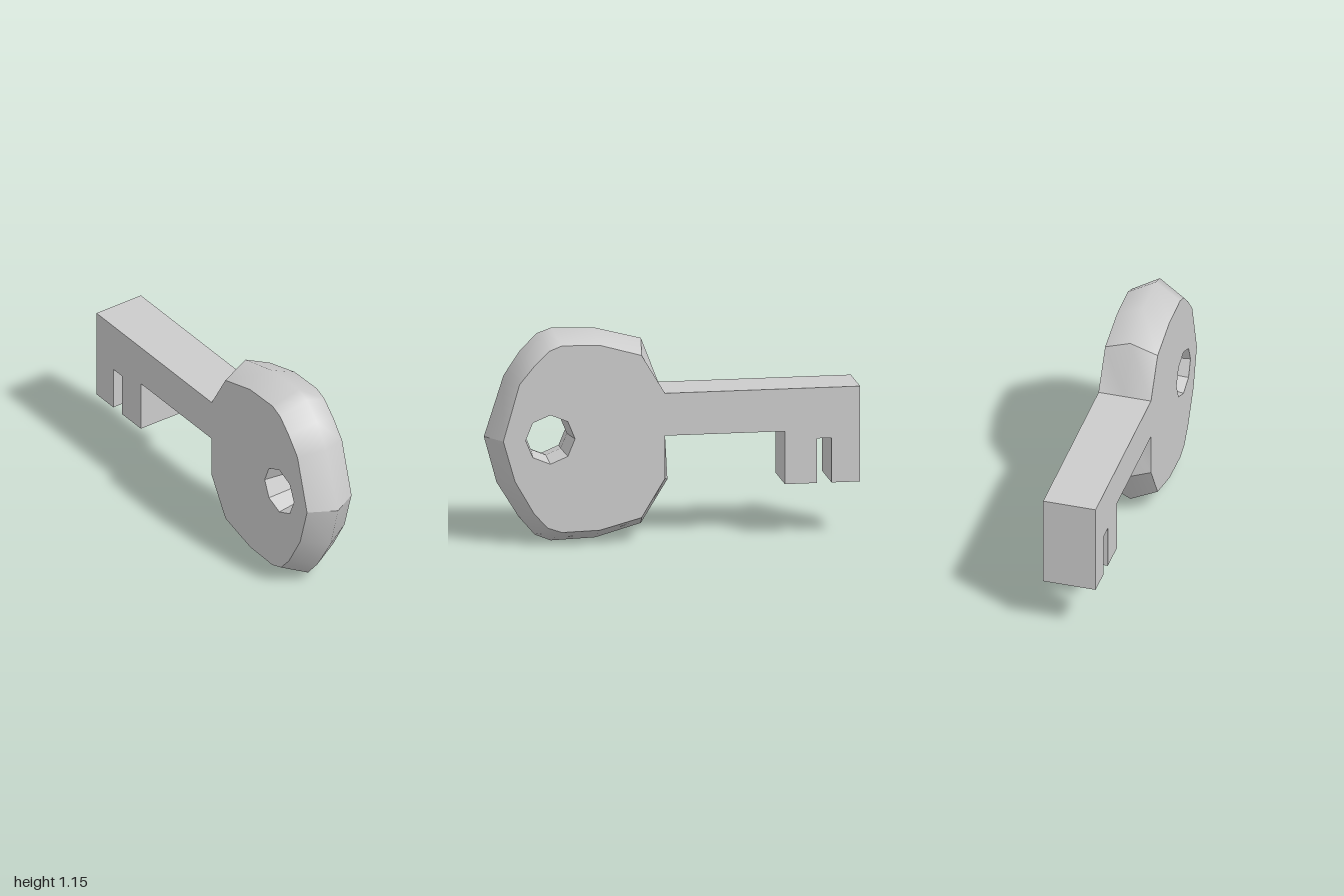
import * as THREE from 'three';

const H = 0.145; // half thickness

// Bow outline as [z, y], from the neck top, round the tip, to the neck bottom
const FACE = [[0.05, 0.81], [0.176, 1.02], [0.4, 1.083], [0.604, 1.088], [0.674, 1.06], [0.752, 0.984],
  [0.833, 0.885], [0.92, 0.58], [0.857, 0.36], [0.755, 0.183], [0.682, 0.102], [0.604, 0.075],
  [0.4, 0.08], [0.176, 0.14], [0.05, 0.348], [0.05, 0.58]];
const RIDGE = [[0.05, 0.81], [0.155, 1.084], [0.4, 1.148], [0.64, 1.157], [0.717, 1.13], [0.808, 1.037],
  [0.894, 0.909], [1, 0.58], [0.932, 0.33], [0.813, 0.138], [0.726, 0.037], [0.64, 0.003],
  [0.4, 0.011], [0.155, 0.08], [0.012, 0.312], [0.05, 0.58]];

const ring = r => Array.from({ length: 8 }, (_, i) => {
  const a = i * Math.PI / 4;
  return [0.667 + r * Math.cos(a), 0.581 + r * Math.sin(a)];
});
const HOLE = ring(0.133), HOLE_MID = ring(0.113);

// Smooth band across the thickness: face edge, middle, face edge
function band(edge, middle) {
  const pos = [], idx = [], n = edge.length;
  [[-H, edge], [0, middle], [H, edge]].forEach(([x, row]) => row.forEach(([z, y]) => pos.push(x, y, z)));
  for (let j = 0; j < 2; j++) {
    for (let i = 0; i < n - 1; i++) {
      const a = j * n + i, b = a + 1, c = b + n, d = a + n;
      idx.push(a, b, c, a, c, d);
    }
  }
  const g = new THREE.BufferGeometry();
  g.setAttribute('position', new THREE.Float32BufferAttribute(pos, 3));
  g.setIndex(idx);
  g.computeVertexNormals();
  return g;
}

export function createModel() {
  const group = new THREE.Group();
  const material = new THREE.MeshStandardMaterial({ color: 0xcccccc });
  const flat = new THREE.MeshStandardMaterial({ color: 0xcccccc, flatShading: true });
  const add = (name, geometry, mat = material) => {
    const mesh = new THREE.Mesh(geometry, mat);
    mesh.name = name;
    group.add(mesh);
  };

  // Flat sides of the bow with the hole cut out
  for (const s of [1, -1]) {
    const points = list => list.map(([z, y]) => new THREE.Vector2(-s * z, y));
    const shape = new THREE.Shape(points(FACE));
    shape.holes.push(new THREE.Path(points(HOLE)));
    const g = new THREE.ShapeGeometry(shape).rotateY(s * Math.PI / 2).translate(s * H, 0, 0);
    add(s > 0 ? 'bowSideLeft' : 'bowSideRight', g);
  }

  // Ridged rim, split where it has hard creases
  const breaks = [0, 1, 7, 13, 14, 15];
  for (let k = 0; k < breaks.length - 1; k++) {
    const from = breaks[k], to = breaks[k + 1] + 1;
    add('bowRim' + (k + 1), band(FACE.slice(from, to), RIDGE.slice(from, to)));
  }

  // Eight-sided hole, narrowing slightly towards the middle
  const closed = list => [...list, list[0]];
  add('holeWall', band(closed(HOLE), closed(HOLE_MID)), flat);

  // Shank and notched bit in one extrusion
  const profile = [[0.05, 0.81], [0.05, 0.58], [-0.595, 0.58], [-0.595, 0.293], [-0.768, 0.293],
    [-0.768, 0.535], [-0.846, 0.535], [-0.846, 0.293], [-1, 0.293], [-1, 0.81]];
  const shank = new THREE.ExtrudeGeometry(
    new THREE.Shape(profile.map(([z, y]) => new THREE.Vector2(-z, y))),
    { depth: 2 * H, bevelEnabled: false });
  add('shankAndBit', shank.translate(0, 0, -H).rotateY(Math.PI / 2), flat);

  return group;
}
